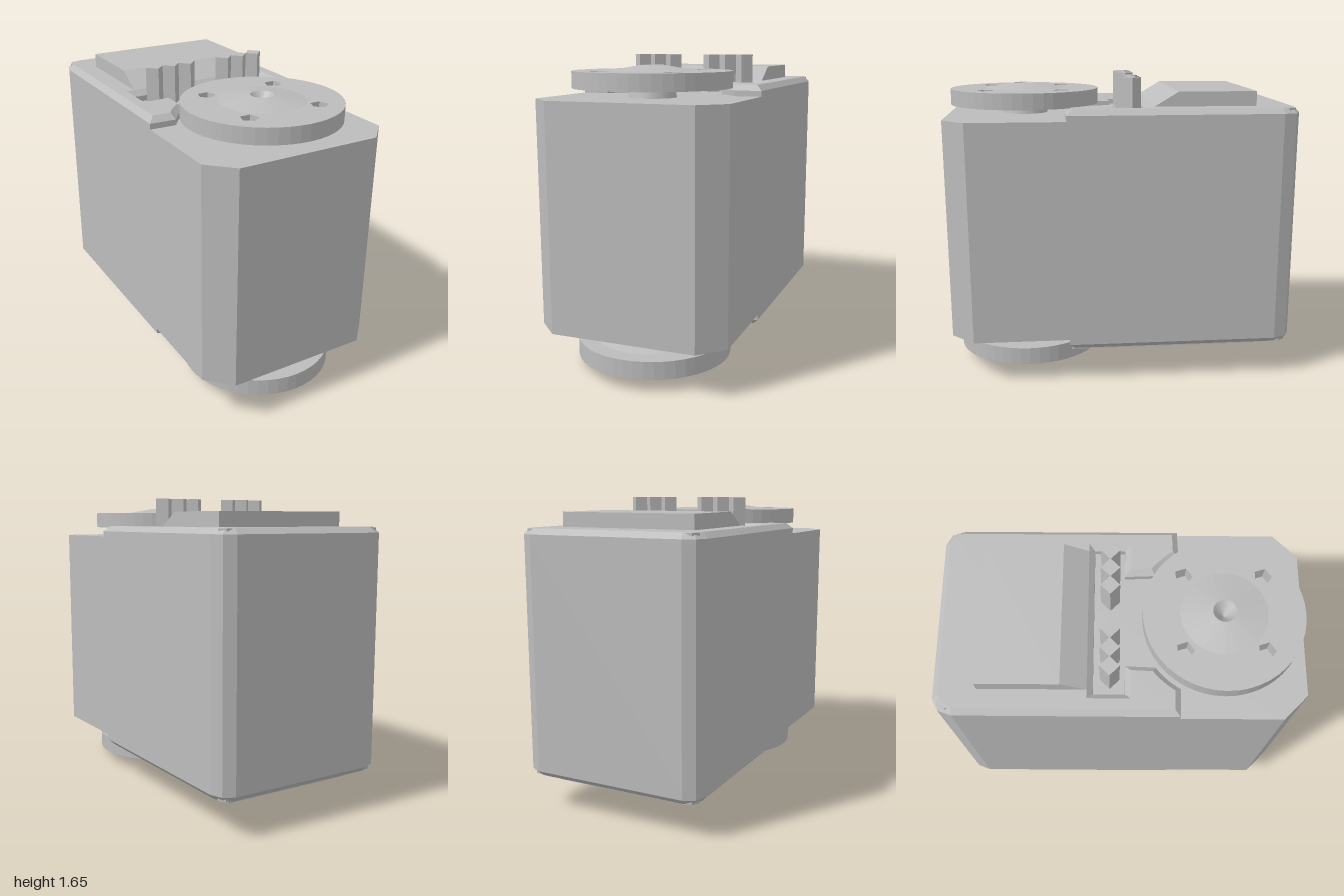
import * as THREE from 'three';

export function createModel() {
  const grey = new THREE.MeshStandardMaterial({ color: 0xbcbcbc });
  grey.name = 'plain grey';
  const model = new THREE.Group();
  model.name = 'servoMotor';

  // local frame: origin on the output shaft, x along the case, z across it
  const servo = new THREE.Group();
  servo.name = 'servo';
  servo.position.set(0.427, 0, 0.338);
  servo.rotation.y = -0.67;
  model.add(servo);

  const add = (name, geometry, x = 0, y = 0, z = 0) => {
    const mesh = new THREE.Mesh(geometry, grey);
    mesh.name = name;
    mesh.position.set(x, y, z);
    servo.add(mesh);
    return mesh;
  };
  const flat = (geometry) => {
    const g = geometry.toNonIndexed();
    g.computeVertexNormals();
    return g;
  };
  // closed outline from one half, mirrored across the long axis
  const mirrored = (half) => new THREE.Shape(
    [...half, ...half.map(([x, z]) => [x, -z]).reverse()].map((p) => new THREE.Vector2(...p)));
  // plan outline extruded upward from y0 to y1, optional bevel kept inside the outline
  const slab = (shape, y0, y1, bevel = 0) => {
    const g = new THREE.ExtrudeGeometry(shape, {
      depth: y1 - y0 - 2 * bevel, bevelEnabled: bevel > 0, bevelThickness: bevel,
      bevelSize: bevel, bevelOffset: -bevel, bevelSegments: 1, curveSegments: 24,
    });
    g.rotateX(-Math.PI / 2);
    return g.translate(0, y0 + bevel, 0);
  };
  const arc = (r, a0, a1, n = 6) => Array.from({ length: n + 1 }, (_, i) => {
    const a = a0 + (a1 - a0) * i / n;
    return [-r * Math.cos(a), r * Math.sin(a)];
  });

  // main case with chamfered corners
  const rear = [[-1.36, 0.515], [-1.43, 0.49], [-1.46, 0.43]];
  add('case', slab(mirrored([[0.422, 0.39], [0.297, 0.515], ...rear]), 0.25, 1.44));

  // raised top cover: cut around the horn and opened for the connectors
  const step = [-0.222, 0.515];
  const topShape = mirrored([
    ...rear.slice().reverse(), step, ...arc(0.43, 1.04, 0.64),
    [-0.5, 0.25], [-0.5, 0.4], [-0.66, 0.4],
  ]);
  add('topCover', slab(topShape, 1.41, 1.5, 0.03));

  // raised bottom cover and its plate, both cut around the lower horn
  const around = arc(0.44, 1.04, 0.06);
  add('bottomCover', slab(mirrored([...rear.slice().reverse(), step, ...around]), 0.19, 0.28, 0.03));
  add('bottomPlate', slab(mirrored([[-1.33, 0.385], [-0.235, 0.385], ...arc(0.44, 0.98, 0.06)]), 0.14, 0.2));

  // wedge cover behind the connectors
  const wedge = new THREE.Shape([
    [-1.24, 1.46], [-0.69, 1.46], [-0.69, 1.5], [-0.82, 1.578], [-1.24, 1.578],
  ].map((p) => new THREE.Vector2(...p)));
  add('wedgeCover', new THREE.ExtrudeGeometry(wedge, { depth: 0.77, bevelEnabled: false }), 0, 0, -0.385);

  // connector pins, three per side
  for (const side of [-1, 1]) {
    for (let i = 0; i < 3; i++) {
      add('connectorPin', flat(new THREE.CylinderGeometry(0.05, 0.05, 0.22, 4)),
        -0.576, 1.54, side * (0.118 + i * 0.097));
    }
    // corner screws at the rear
    for (const y of [1.477, 0.213]) {
      add('cornerScrew', flat(new THREE.CylinderGeometry(0.045, 0.045, 0.04, 6)), -1.39, y, side * 0.445);
    }
  }

  // horn discs with four five-sided holes
  const hornShape = (centreHole) => {
    const s = new THREE.Shape().absarc(0, 0, 0.412, 0, Math.PI * 2, false);
    const hole = (x, y, r, n) => s.holes.push(new THREE.Path(Array.from({ length: n }, (_, i) => {
      const a = -i / n * Math.PI * 2;
      return new THREE.Vector2(x + r * Math.cos(a), y + r * Math.sin(a));
    })));
    for (let i = 0; i < 4; i++) {
      const a = Math.PI / 4 + i * Math.PI / 2;
      hole(0.287 * Math.cos(a), 0.287 * Math.sin(a), 0.048, 5);
    }
    if (centreHole) hole(0, 0, 0.08, 8);
    return s;
  };
  const lathe = (points, n) => new THREE.LatheGeometry(points.map((p) => new THREE.Vector2(...p)), n);

  add('topHorn', slab(hornShape(true), 1.49, 1.576));
  add('topHornDome', flat(lathe([[0.23, 1.575], [0.06, 1.604], [0, 1.53]], 24)));
  add('topShaft', new THREE.CylinderGeometry(0.11, 0.13, 0.1, 24), 0, 1.47, 0);

  add('bottomHorn', slab(hornShape(false), 0.07, 0.165));
  add('bottomHornNeck', flat(lathe([[0, 0.163], [0.33, 0.163], [0.12, 0.225], [0.1, 0.27]], 24)));
  add('bottomScrew', flat(lathe([[0, 0], [0.06, 0.004], [0.11, 0.03], [0.1, 0.08]], 8)));

  return model;
}
